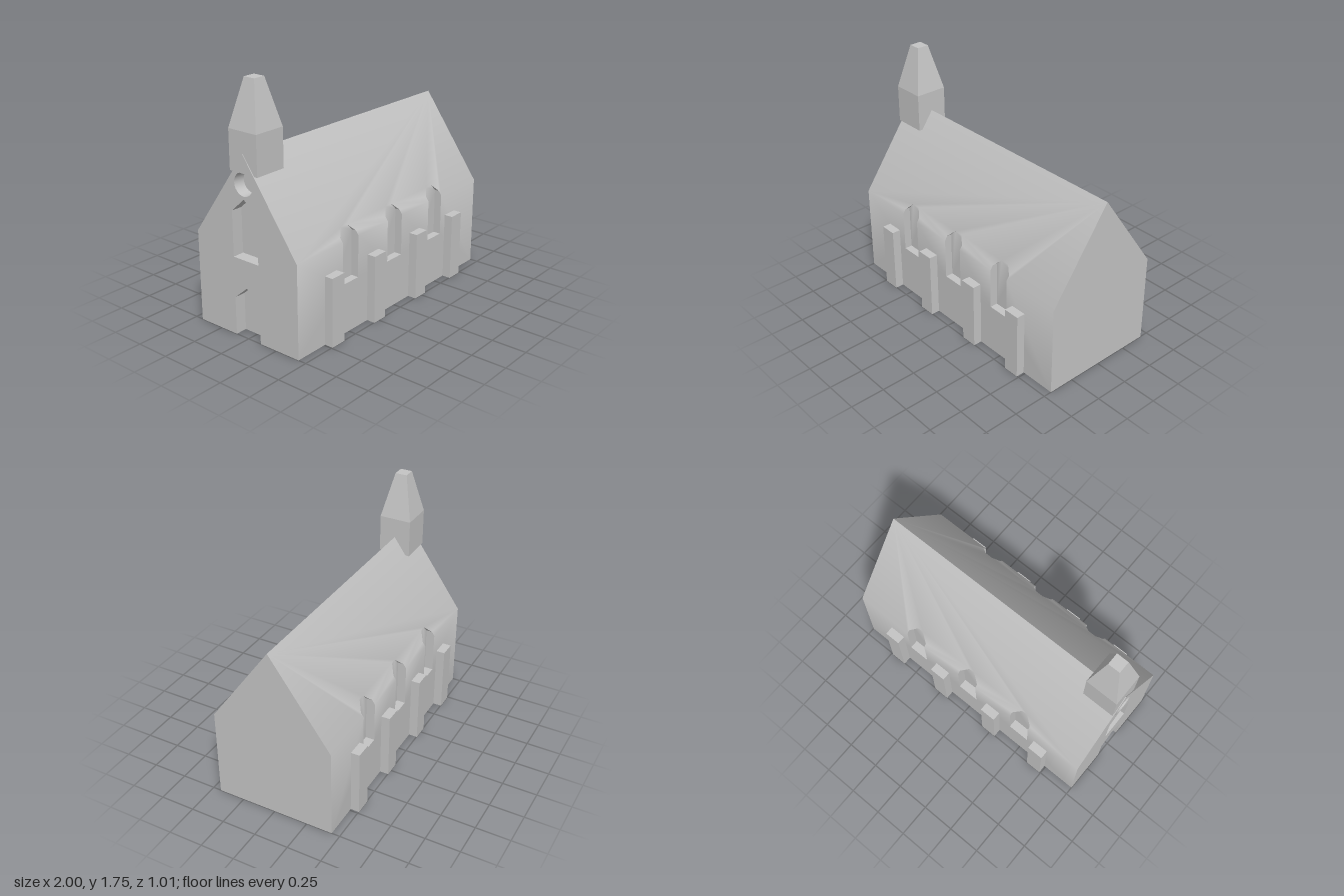
import * as THREE from 'three';
import { toCreasedNormals } from 'three/addons/utils/BufferGeometryUtils.js';

const W = 0.44, EAVE = 0.66, RIDGE = 1.28;      // half width and heights of the nave
const CREASE = 0.7;
const v = (x, y, z) => new THREE.Vector3(x, y, z);
const roofZ = (y) => W * (RIDGE - y) / (RIDGE - EAVE);
const roofY = (z) => RIDGE - z * (RIDGE - EAVE) / W;

// Triangulates a flat outline with holes and turns every triangle towards n
function face(out, outline, n, holes = []) {
  const a = n.toArray().map(Math.abs);
  const k = a.indexOf(Math.max(...a));
  const flat = (p) => {
    const c = p.toArray();
    c.splice(k, 1);
    return new THREE.Vector2(c[0], c[1]);
  };
  const all = [outline, ...holes].flat();
  const tris = THREE.ShapeUtils.triangulateShape(outline.map(flat), holes.map((h) => h.map(flat)));
  for (const [i, j, l] of tris) {
    const A = all[i], B = all[j], C = all[l];
    const normal = B.clone().sub(A).cross(C.clone().sub(A));
    const order = normal.dot(n) > 0 ? [A, B, C] : [A, C, B];
    order.forEach((p) => out.push(p.x, p.y, p.z));
  }
}

function makeMesh(name, positions, material) {
  const g = new THREE.BufferGeometry();
  g.setAttribute('position', new THREE.Float32BufferAttribute(positions, 3));
  const m = new THREE.Mesh(toCreasedNormals(g, CREASE), material);
  m.name = name;
  return m;
}

// Long wall and its roof slope, with three pointed window niches cutting the eave
function sidePositions(s) {
  const out = [];
  const zb = s > 0 ? 0.384 : 0.376;             // back plane of the niches
  const hw = 0.08, sill = 0.36, spring = 0.69, apex = 0.77;
  const top = roofY(zb), ht = apex - top;       // niche meets the roof slope here
  const wall = [v(1, 0, s * W), v(-1, 0, s * W), v(-1, EAVE, s * W)];
  const roof = [v(1, RIDGE, 0), v(-1, RIDGE, 0), v(-1, EAVE, s * W)];
  for (const c of [-0.48, 0, 0.48]) {
    const P = (x, y, z) => v(c + x, y, s * z);
    const zs = roofZ(spring);
    wall.push(P(-hw, EAVE, W), P(-hw, sill, W), P(hw, sill, W), P(hw, EAVE, W));
    roof.push(P(-hw, EAVE, W), P(-hw, spring, zs), P(-ht, top, zb),
      P(ht, top, zb), P(hw, spring, zs), P(hw, EAVE, W));
    // back panel and sill
    face(out, [P(-hw, sill, zb), P(hw, sill, zb), P(hw, spring, zb), P(ht, top, zb),
      P(-ht, top, zb), P(-hw, spring, zb)], v(0, 0, s));
    face(out, [P(-hw, sill, zb), P(hw, sill, zb), P(hw, sill, W), P(-hw, sill, W)], v(0, 1, 0));
    // jambs and sloping heads
    for (const e of [-1, 1]) {
      face(out, [P(e * hw, sill, W), P(e * hw, EAVE, W), P(e * hw, spring, zs),
        P(e * hw, spring, zb), P(e * hw, sill, zb)], v(-e, 0, 0));
      face(out, [P(e * hw, spring, zs), P(e * ht, top, zb), P(e * hw, spring, zb)], v(-e, -0.99, 0));
    }
  }
  wall.push(v(1, EAVE, s * W));
  roof.push(v(1, EAVE, s * W));
  face(out, wall, v(0, 0, s));
  face(out, roof, v(0, W, s * (RIDGE - EAVE)));
  return out;
}

// Entrance gable with recessed door, pointed window and round window
function entrancePositions() {
  const out = [], x = -1, depth = 0.085, hw = 0.11;
  const P = ([z, y], d = 0) => v(x + d, y, z);
  const door = [[-hw, 0], [-hw, 0.27], [0, 0.365], [hw, 0.27], [hw, 0]];
  const lancet = [[-hw, 0.56], [-hw, 0.88], [0, 0.98], [hw, 0.88], [hw, 0.56]];
  const round = [];
  for (let i = 0; i < 24; i++) {
    const t = i / 24 * Math.PI * 2;
    round.push([0.08 * Math.cos(t), 1.08 + 0.08 * Math.sin(t)]);
  }
  const outline = [[-W, 0], ...door, [W, 0], [W, EAVE], [0, RIDGE], [-W, EAVE]];
  face(out, outline.map((p) => P(p)), v(-1, 0, 0), [lancet, round].map((h) => h.map((p) => P(p))));
  for (const [shape, cy, open] of [[door, 0.15, true], [lancet, 0.75, false], [round, 1.08, false]]) {
    face(out, shape.map((p) => P(p, depth)), v(-1, 0, 0));
    shape.forEach((a, i) => {
      if (open && i === shape.length - 1) return;
      const b = shape[(i + 1) % shape.length];
      const n = v(0, b[0] - a[0], a[1] - b[1]);   // across the edge, turned inwards
      if (n.dot(v(0, cy - (a[1] + b[1]) / 2, -(a[0] + b[0]) / 2)) < 0) n.negate();
      face(out, [P(a), P(b), P(b, depth), P(a, depth)], n);
    });
  }
  return out;
}

export function createModel() {
  const group = new THREE.Group();
  group.name = 'chapel';
  const stone = new THREE.MeshStandardMaterial({ color: 0xc4c4c4 });
  stone.name = 'grey stone';

  group.add(makeMesh('frontWallAndRoof', sidePositions(1), stone));
  group.add(makeMesh('backWallAndRoof', sidePositions(-1), stone));
  group.add(makeMesh('entranceGable', entrancePositions(), stone));

  // Plain gable
  const gable = [];
  face(gable, [v(1, 0, -W), v(1, EAVE, -W), v(1, RIDGE, 0), v(1, EAVE, W), v(1, 0, W)], v(1, 0, 0));
  group.add(makeMesh('plainGable', gable, stone));

  // Underside, notched at the door
  const base = [];
  face(base, [v(-1, 0, -W), v(-1, 0, -0.11), v(-0.915, 0, -0.11), v(-0.915, 0, 0.11),
    v(-1, 0, 0.11), v(-1, 0, W), v(1, 0, W), v(1, 0, -W)], v(0, -1, 0));
  group.add(makeMesh('underside', base, stone));

  // Buttresses
  for (const s of [-1, 1]) {
    for (const x of [-0.68, -0.24, 0.236, 0.676]) {
      const b = new THREE.Mesh(new THREE.BoxGeometry(0.12, 0.49, 0.085), stone);
      b.position.set(x, 0.245, s * 0.461);
      b.name = 'buttress';
      group.add(b);
    }
  }

  // Bell tower: square block below a truncated spire
  const tower = [];
  const ring = (hx, hz, y) => [[-1, -1], [1, -1], [1, 1], [-1, 1]]
    .map(([a, b]) => v(-0.875 + a * hx, y, b * hz));
  const rings = [ring(0.12, 0.119, 1.15), ring(0.12, 0.119, 1.425), ring(0.044, 0.044, 1.75)];
  const sides = [v(0, 0, -1), v(1, 0, 0), v(0, 0, 1), v(-1, 0, 0)];
  for (let r = 0; r < 2; r++) {
    sides.forEach((n, i) => {
      const j = (i + 1) % 4;
      face(tower, [rings[r][i], rings[r][j], rings[r + 1][j], rings[r + 1][i]], n);
    });
  }
  face(tower, rings[0], v(0, -1, 0));
  face(tower, rings[2], v(0, 1, 0));
  const towerMesh = makeMesh('bellTower', tower, stone);
  towerMesh.geometry.computeVertexNormals();      // flat faces
  group.add(towerMesh);

  return group;
}
